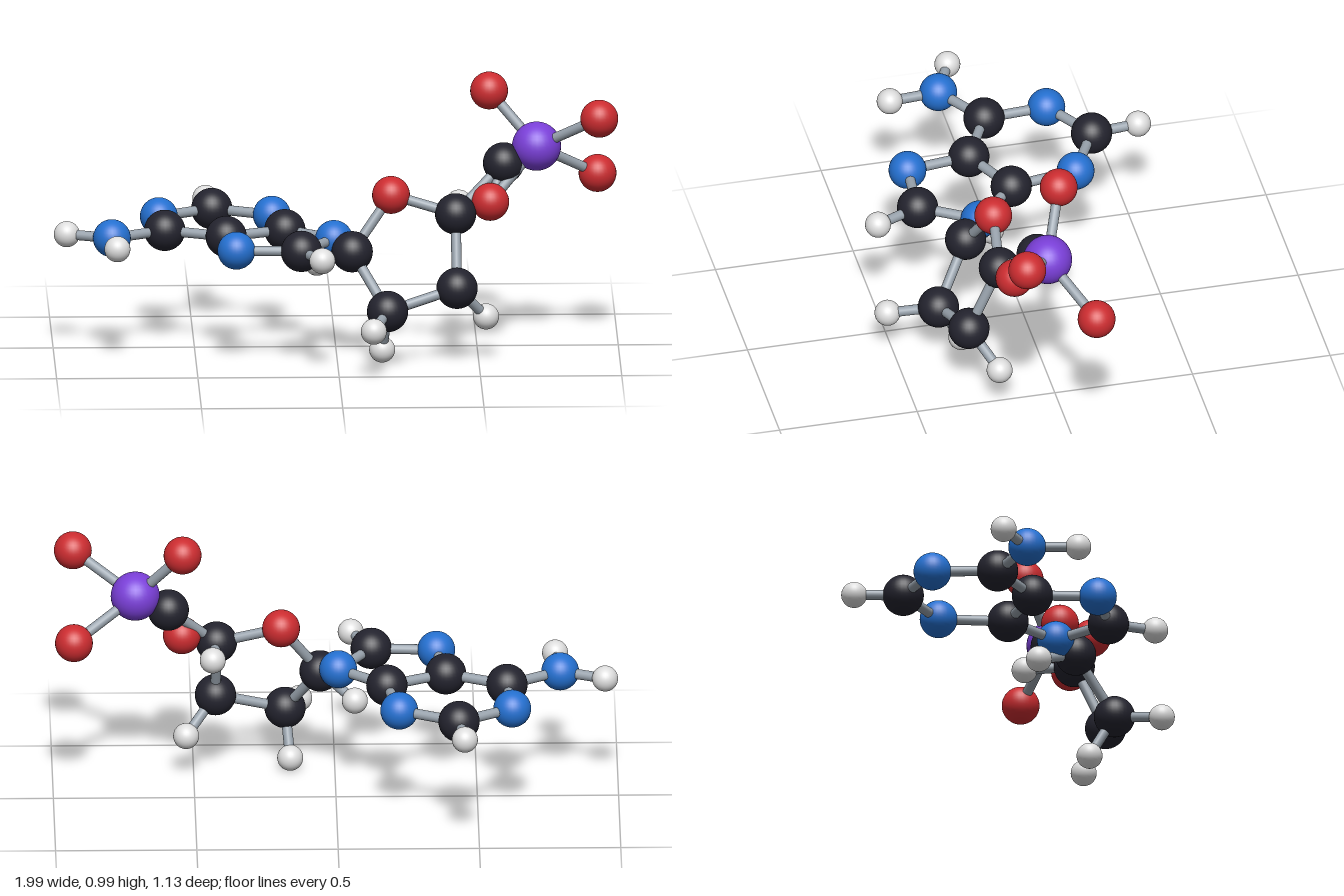
import * as THREE from 'three';

const mat = (name, color) => {
  const m = new THREE.MeshStandardMaterial({ color });
  m.name = name;
  return m;
};

export function createModel() {
  const model = new THREE.Group();
  model.name = 'moleculeModel';

  // One sphere size and colour for each element
  const element = (name, radius, colorName, color) => ({
    name, geometry: new THREE.SphereGeometry(radius, 32, 20), material: mat(colorName, color),
  });
  const kinds = {
    C: element('carbon', 0.073, 'charcoal', 0x23232e),
    N: element('nitrogen', 0.067, 'blue', 0x2470d0),
    O: element('oxygen', 0.067, 'red', 0xcc2c30),
    P: element('phosphorus', 0.087, 'violet', 0x7a3fd8),
    H: element('hydrogen', 0.046, 'offWhite', 0xdedede),
  };
  const bondMaterial = mat('bondGrey', 0x98a2ac);

  const Y = 0.428; // height of the flat double ring
  const atoms = {
    // flat double ring
    N1: [-0.62, Y, -0.23], C2: [-0.43, Y, -0.35], N3: [-0.22, Y, -0.243],
    C4: [-0.18, Y, 0], C5: [-0.39, Y, 0.105], C6: [-0.605, Y, 0],
    N7: [-0.36, Y, 0.335], C8: [-0.13, Y, 0.352], N9: [-0.01, Y, 0.155],
    N6: [-0.795, Y, 0.122],
    H2: [-0.448, Y, -0.523], H6a: [-0.953, Y, 0.052], H6b: [-0.78, Y, 0.302],
    H8: [-0.06, Y, 0.512],
    // five-sided sugar ring
    C11: [0.053, 0.396, 0.22], C12: [0.175, 0.207, 0.347], C13: [0.422, 0.278, 0.294],
    C14: [0.42, 0.523, 0.183], O14: [0.192, 0.586, 0.152],
    H11: [-0.068, 0.33, 0.1], H12a: [0.158, 0.05, 0.26], H12b: [0.122, 0.173, 0.52],
    H13: [0.527, 0.156, 0.207], H14: [0.436, 0.524, 0.005],
    // phosphate tail
    C15: [0.592, 0.685, 0.086], O15: [0.543, 0.56, 0.157], P1: [0.709, 0.743, 0.075],
    O2: [0.543, 0.928, -0.004], O3: [0.928, 0.869, 0.2], O4: [0.928, 0.616, -0.052],
  };
  const bonds = [
    'N1-C2', 'C2-N3', 'N3-C4', 'C4-C5', 'C5-C6', 'C6-N1', 'C5-N7', 'N7-C8', 'C8-N9', 'N9-C4',
    'C6-N6', 'C2-H2', 'N6-H6a', 'N6-H6b', 'C8-H8', 'N9-C11',
    'C11-C12', 'C12-C13', 'C13-C14', 'C14-O14', 'O14-C11',
    'C11-H11', 'C12-H12a', 'C12-H12b', 'C13-H13', 'C14-H14',
    'C14-C15', 'C15-O15', 'O15-P1', 'P1-O2', 'P1-O3', 'P1-O4',
  ];

  // Atoms
  for (const [id, position] of Object.entries(atoms)) {
    const kind = kinds[id[0]];
    const ball = new THREE.Mesh(kind.geometry, kind.material);
    ball.name = `${kind.name}Atom`;
    ball.position.set(...position);
    model.add(ball);
  }

  // Bonds: rods from centre to centre
  const up = new THREE.Vector3(0, 1, 0);
  for (const pair of bonds) {
    const [a, b] = pair.split('-').map((id) => new THREE.Vector3(...atoms[id]));
    const along = b.clone().sub(a);
    const rod = new THREE.Mesh(
      new THREE.CylinderGeometry(0.018, 0.018, along.length(), 16, 1, true), bondMaterial);
    rod.name = 'bond';
    rod.position.copy(a).add(b).multiplyScalar(0.5);
    rod.quaternion.setFromUnitVectors(up, along.normalize());
    model.add(rod);
  }
  return model;
}
